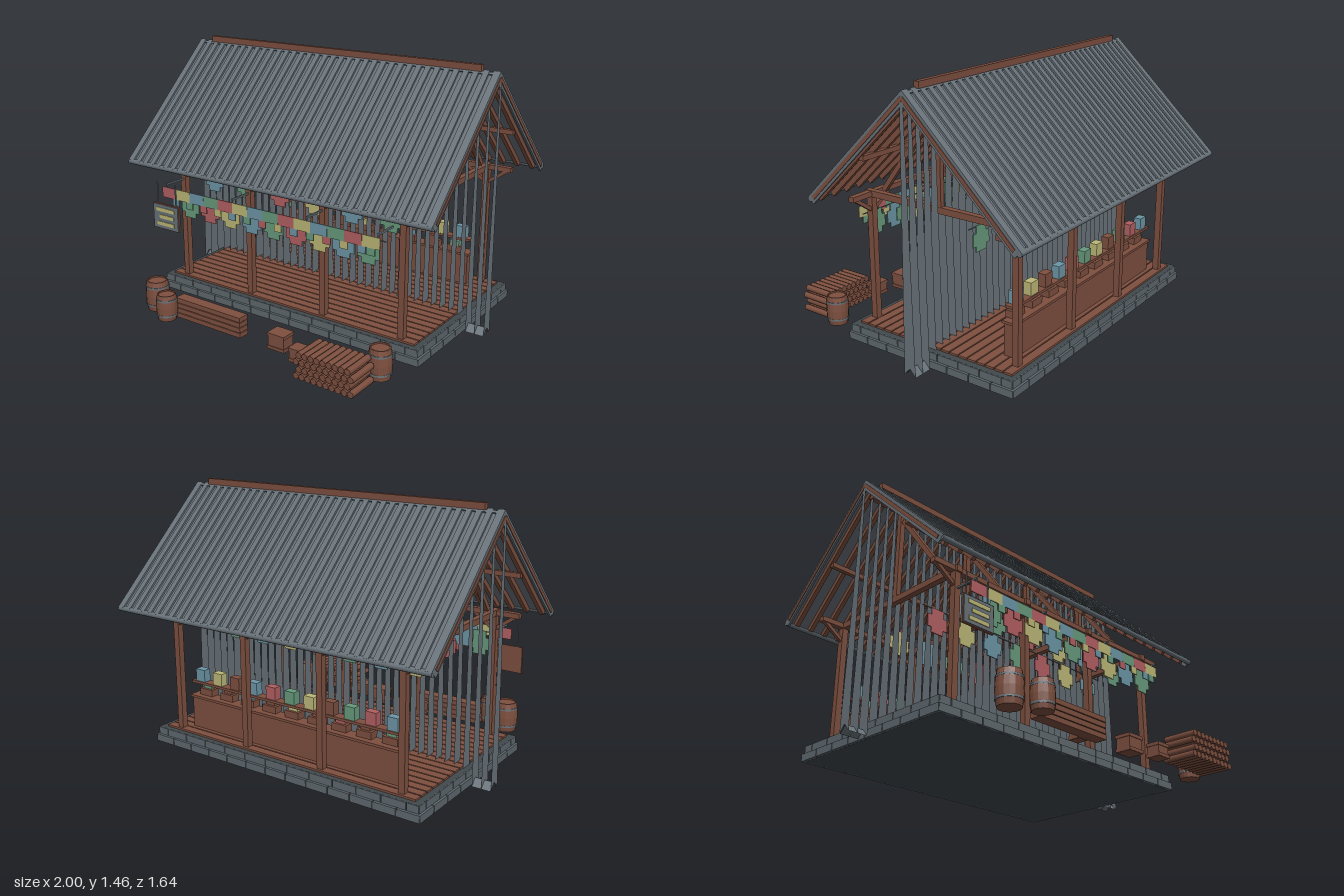
import * as THREE from 'three';

const mat = (name, color, side = THREE.FrontSide) => {
  const m = new THREE.MeshStandardMaterial({ color, side });
  m.name = name;
  return m;
};

export function createModel() {
  const root = new THREE.Group();
  root.name = 'marketStall';
  const slate = mat('slate', 0x69737a, THREE.DoubleSide);
  const stone = mat('stone', 0x5f696f);
  const mortar = mat('mortar', 0x42494d);
  const wood = mat('wood', 0x7e5040);
  const red = mat('red', 0xb36062);
  const yellow = mat('yellow', 0xbdb878);
  const green = mat('green', 0x689a7d);
  const blue = mat('blue', 0x6c96a6);
  const cloth = [red, yellow, blue, green];
  const ZC = -0.155; // depth of the ridge line

  const add = (name, geo, m, x, y, z, parent = root) => {
    const mesh = new THREE.Mesh(geo, m);
    mesh.name = name;
    mesh.position.set(x, y, z);
    parent.add(mesh);
    return mesh;
  };
  const box = (name, m, w, h, d, x, y, z, parent = root) =>
    add(name, new THREE.BoxGeometry(w, h, d), m, x, y, z, parent);
  const group = (name, parent = root) => {
    const g = new THREE.Group();
    g.name = name;
    parent.add(g);
    return g;
  };
  // square beam between two points
  const beam = (name, a, b, t, parent = root) => {
    const p = new THREE.Vector3(...a), q = new THREE.Vector3(...b);
    const m = box(name, wood, t, t, p.distanceTo(q), 0, 0, 0, parent);
    m.position.copy(p).add(q).multiplyScalar(0.5);
    m.lookAt(q);
    return m;
  };

  // Stone platform: core with two courses of blocks
  const base = group('platform');
  box('platformCore', mortar, 1.73, 0.084, 1.04, 0, 0.042, ZC, base);
  for (let c = 0; c < 2; c++) {
    const hx = 0.88 - c * 0.01, hz = 0.535 - c * 0.01, y = 0.0205 + c * 0.043;
    const row = (half, place) => {
      const n = Math.round(half / 0.07), s = (2 * half) / n;
      for (let i = 0; i <= n; i++) {
        const from = Math.max(-half, -half + (i - c * 0.5) * s);
        const to = Math.min(half, -half + (i + 1 - c * 0.5) * s);
        if (to - from > 0.02) place((from + to) / 2, to - from - 0.005);
      }
    };
    for (const k of [-1, 1]) {
      row(hx, (p, l) => box('stoneBlock', stone, l, 0.04, 0.06, p, y, ZC + k * (hz - 0.03), base));
      row(hz, (p, l) => box('stoneBlock', stone, 0.06, 0.04, l, k * (hx - 0.03), y, ZC + p, base));
    }
  }

  // Floor planks
  const floor = group('floor');
  for (let i = 0; i < 18; i++)
    box('floorPlank', wood, 1.66, 0.014, 0.048, 0, 0.088, ZC - 0.468 + i * 0.055, floor);

  // Timber frame: posts, braces, trusses
  const frame = group('frame');
  for (const x of [-0.74, -0.25, 0.25, 0.74]) {
    for (const k of [-1, 1]) {
      const z = ZC + k * 0.46;
      box('post', wood, 0.036, 0.7, 0.036, x, 0.435, z, frame);
      for (const s of [-1, 1])
        beam('postBrace', [x, 0.7, z], [x + s * 0.13, 0.79, z], 0.02, frame);
      beam('trussBrace', [x, 0.83, ZC + k * 0.365], [x, 1.27, ZC + k * 0.03], 0.026, frame);
    }
    box('tieBeam', wood, 0.034, 0.034, 0.98, x, 0.795, ZC, frame);
    box('kingPost', wood, 0.03, 0.56, 0.03, x, 1.08, ZC, frame);
  }
  for (const k of [-1, 1]) {
    box('topPlate', wood, 1.78, 0.028, 0.034, 0, 0.795, ZC + k * 0.46, frame);
    box('purlin', wood, 1.9, 0.026, 0.026, 0, 1.05, ZC + k * 0.315, frame);
  }
  box('ridgeBeam', wood, 1.9, 0.04, 0.03, 0, 1.35, ZC, frame);

  // Ribbed roof, the same slope used for front and back
  const roof = group('roof');
  const N = 37, S = 2 / N, L = 0.905;
  for (const k of [0, Math.PI]) {
    const side = group('roofSide', roof);
    side.position.set(0, 1.43, ZC);
    side.rotation.y = k;
    const slope = group('slope', side);
    slope.rotation.x = 0.762;
    box('roofSheet', slate, 1.99, 0.014, L, 0, -0.017, L / 2, slope);
    for (let i = 0; i < N; i++)
      box('roofRib', slate, S * 0.58, 0.012, L, -1 + (i + 0.5) * S, -0.006, L / 2, slope);
    for (let i = 0; i < 22; i++)
      box('rafter', wood, 0.024, 0.026, L - 0.03, -0.945 + i * 0.09, -0.037, L / 2, slope);
    for (const s of [-1, 1]) {
      box('bargeBoard', slate, 0.012, 0.05, L, s * 0.99, -0.025, L / 2, slope);
      box('bargeTrim', wood, 0.006, 0.02, L - 0.05, s * 0.997, -0.026, L / 2, slope);
    }
    const edge = add('eaveRoll', new THREE.CylinderGeometry(0.015, 0.015, 1.99, 10), slate, 0, -0.015, L, slope);
    edge.rotation.z = Math.PI / 2;
  }
  box('ridgeCap', wood, 1.79, 0.034, 0.03, 0, 1.438, ZC, roof);

  // Row of thin tapering slats hanging from the ridge, with folded feet
  const slats = group('hangingSlats');
  const slatShape = new THREE.Shape([[-0.036, 0], [0, 0.04], [0.036, 0], [0.01, 1.4], [-0.01, 1.4]]
    .map(p => new THREE.Vector2(...p)));
  const slatGeo = new THREE.ShapeGeometry(slatShape).rotateY(Math.PI / 2);
  for (let i = 0; i <= N; i++) add('slat', slatGeo, slate, -0.999 + i * 1.998 / N, 0, ZC, slats);
  for (const s of [-1, 1]) for (let i = 0; i < 2; i++) for (const k of [-1, 1]) {
    const foot = add('slatFoot', new THREE.PlaneGeometry(0.05, 0.053), slate,
      s * (0.97 - i * 0.054), 0.02, ZC + k * 0.018, slats);
    foot.rotation.x = -k * 0.733;
  }

  // Counter, shelf and goods along the back
  const counter = group('counter');
  box('counterFront', wood, 1.39, 0.18, 0.064, 0, 0.185, -0.538, counter);
  box('counterTop', wood, 1.41, 0.014, 0.08, 0, 0.278, -0.538, counter);
  box('shelf', wood, 1.4, 0.014, 0.055, 0, 0.362, -0.54, counter);
  for (let i = 0; i < 9; i++) {
    const x = -0.615 + i * 0.154;
    box('tray', wood, 0.09, 0.038, 0.055, x, 0.304, -0.517, counter);
    box('smallGood', i % 2 ? wood : cloth[(i / 2 + 3) % 4], 0.058, 0.032, 0.04, x, 0.339, -0.51, counter);
  }
  [blue, red, green, wood, yellow, green, red, blue, wood, yellow, blue].forEach((m, i) =>
    box('shelfGood', m, 0.064, 0.07, 0.045, -0.64 + i * 0.128, 0.404, -0.538, counter));

  // Stepped cloth flags in hanging rows
  const bunting = group('bunting');
  const flagShape = new THREE.Shape([[-0.065, 0], [-0.065, -0.07], [-0.04, -0.07], [-0.04, -0.1],
    [0.04, -0.1], [0.04, -0.07], [0.065, -0.07], [0.065, 0]].map(p => new THREE.Vector2(...p)));
  const flagGeo = new THREE.ExtrudeGeometry(flagShape, { depth: 0.006, bevelEnabled: false });
  const flagRow = (z, top, n, shift) => {
    box('cord', slate, 1.4, 0.005, 0.005, 0, top - 0.003, z, bunting);
    for (let i = 0; i < n; i++) {
      const x = -0.6 + (1.2 * i) / (n - 1), m = cloth[(i + shift) % 4];
      add('flag', flagGeo, m, x, top - 0.04, z - 0.003, bunting);
      box('flagTop', m, 0.08, 0.04, 0.006, x, top - 0.02, z, bunting);
    }
  };
  flagRow(0.415, 0.645, 9, 3);
  flagRow(0.205, 0.75, 6, 2);
  flagRow(0.015, 0.73, 7, 0);
  flagRow(-0.295, 0.71, 7, 1);

  // Front banner on two arms
  for (let i = 0; i < 14; i++) {
    const x = -0.723 + i * 0.1047;
    box('bannerPanel', cloth[i % 4], 0.104, 0.062, 0.006, x, 0.64, 0.455, bunting);
    box('bannerTab', cloth[(i + 2) % 4], 0.048, 0.04, 0.006, x + 0.05 * (i < 13), 0.59, 0.455, bunting);
  }
  for (const x of [-0.74, -0.25, 0.25, 0.68]) {
    box('bannerArm', slate, 0.01, 0.01, 0.14, x, 0.69, 0.39, bunting);
    box('bannerHook', slate, 0.006, 0.03, 0.006, x, 0.68, 0.455, bunting);
  }

  // Hanging sign with plain stripes
  const sign = group('sign');
  box('signBoard', wood, 0.2, 0.152, 0.012, -0.74, 0.495, 0.468, sign);
  box('signFace', slate, 0.19, 0.142, 0.005, -0.74, 0.495, 0.476, sign);
  [[0, 0.042, 0.14], [0.01, 0, 0.11], [0, -0.042, 0.13]].forEach(([x, y, w]) =>
    box('signStripe', yellow, w, 0.022, 0.005, -0.74 + x, 0.495 + y, 0.48, sign));
  for (const x of [-0.81, -0.67])
    box('signHanger', slate, 0.006, 0.13, 0.006, x, 0.63, 0.462, sign);

  // Barrels with hoops
  const barrel = (x, z, r, h) => {
    const g = group('barrel');
    g.position.set(x, 0, z);
    const pts = [[0, 0], [0.86, 0], [0.97, 0.25], [1, 0.5], [0.97, 0.75], [0.86, 1], [0.76, 1], [0.76, 0.95], [0, 0.95]];
    const geo = new THREE.LatheGeometry(pts.map(p => new THREE.Vector2(p[0] * r, p[1] * h)), 16).toNonIndexed();
    geo.computeVertexNormals();
    add('barrelBody', geo, wood, 0, 0, 0, g);
    for (const t of [0.2, 0.8])
      add('barrelHoop', new THREE.CylinderGeometry(r * 0.985, r * 0.985, 0.01, 16), slate, 0, t * h, 0, g);
  };
  barrel(-0.685, 0.625, 0.068, 0.175);
  barrel(-0.545, 0.695, 0.06, 0.15);
  barrel(0.775, 0.57, 0.062, 0.165);

  // Long plank chest
  const chest = group('plankChest');
  box('chestCore', wood, 0.45, 0.11, 0.052, -0.282, 0.057, 0.622, chest);
  for (let i = 0; i < 4; i++)
    box('chestPlank', wood, 0.465, 0.026, 0.066, -0.282, 0.015 + i * 0.03, 0.622, chest);

  // Small crates with rims
  const crate = (x, z, w, h, d) => {
    const g = group('crate');
    box('crateBody', wood, w - 0.008, h, d - 0.008, x, h / 2, z, g);
    for (const y of [0.01, h - 0.008]) box('crateRim', wood, w, 0.018, d, x, y, z, g);
  };
  crate(0.19, 0.61, 0.11, 0.09, 0.09);
  crate(0.355, 0.665, 0.09, 0.075, 0.078);
  crate(-0.142, 0.556, 0.066, 0.075, 0.066);

  // Stacked logs
  const stack = group('logStack');
  const logGeo = new THREE.CylinderGeometry(0.0175, 0.0175, 0.182, 8).rotateX(Math.PI / 2);
  for (let r = 0; r < 4; r++)
    for (let i = 0; i < 10 - (r % 2); i++)
      add('log', logGeo, wood, 0.45 + (i + (r % 2) * 0.5) * 0.0355, 0.0175 + r * 0.038, 0.735, stack);

  return root;
}
